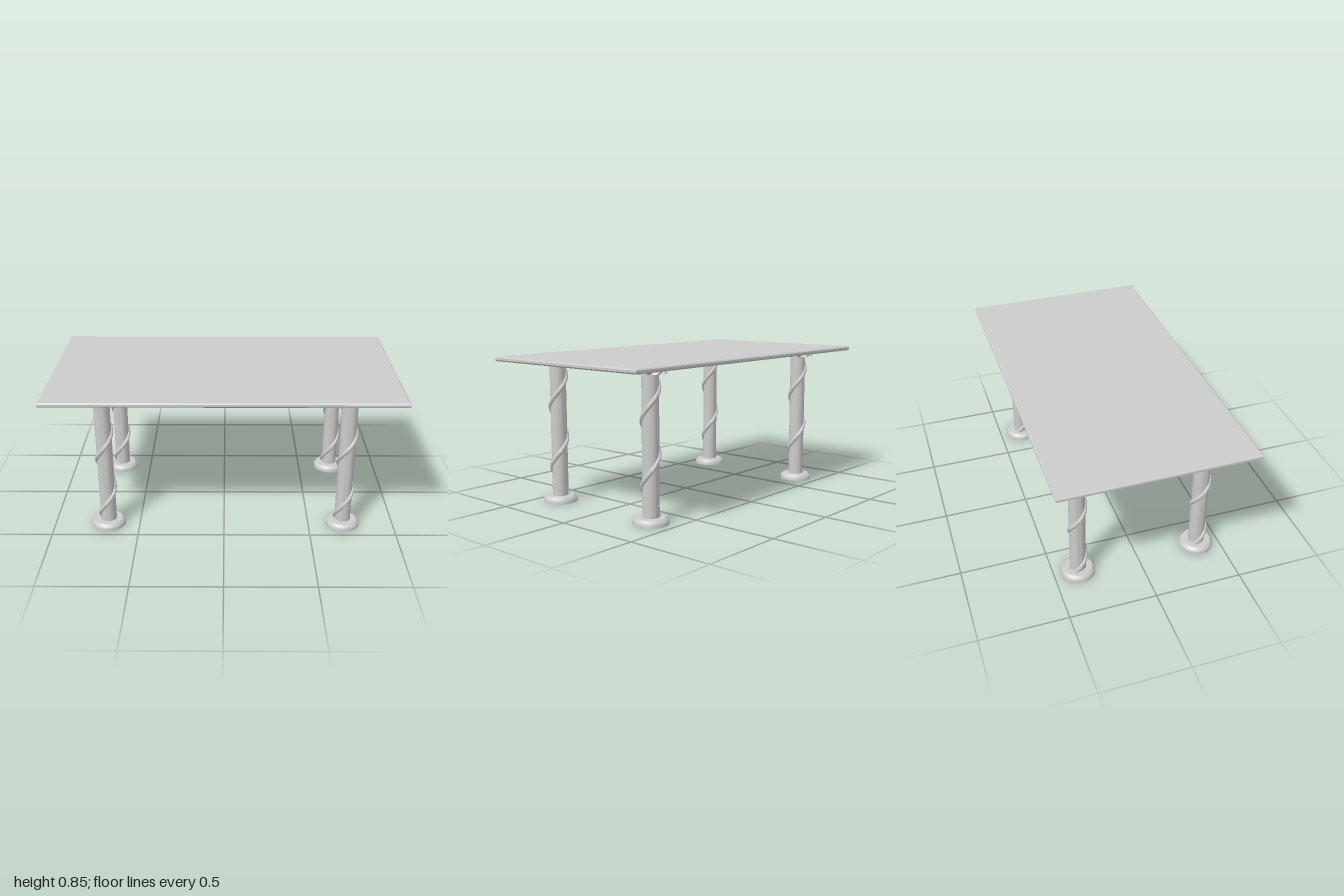
import * as THREE from 'three';
import { toCreasedNormals } from 'three/addons/utils/BufferGeometryUtils.js';

const material = new THREE.MeshStandardMaterial({ color: 0xcccccc });

function part(name, geometry, crease = 0.6) {
  const mesh = new THREE.Mesh(toCreasedNormals(geometry, crease), material);
  mesh.name = name;
  return mesh;
}

// Flat slab with a chamfered rim
function tabletop() {
  const c = 0.007, hx = 1 - c, hz = 0.548 - c, thick = 0.026;
  const outline = new THREE.Shape([
    new THREE.Vector2(-hx, -hz), new THREE.Vector2(hx, -hz),
    new THREE.Vector2(hx, hz), new THREE.Vector2(-hx, hz),
  ]);
  const g = new THREE.ExtrudeGeometry(outline, {
    depth: thick - 2 * c, bevelEnabled: true, bevelSize: c, bevelThickness: c, bevelSegments: 1,
  });
  g.rotateX(-Math.PI / 2).translate(0, 0.828 + c, 0);
  return part('tabletop', g, 0.3);
}

// Round foot with a straight rim and a sloping shoulder
function foot() {
  const profile = [[0, 0], [0.0975, 0], [0.0975, 0.019], [0.093, 0.026], [0.08, 0.037], [0, 0.037]];
  return part('foot', new THREE.LatheGeometry(profile.map(([r, y]) => new THREE.Vector2(r, y)), 48));
}

// Ribbed vine climbing around the column
class Helix extends THREE.Curve {
  getPoint(t, target = new THREE.Vector3()) {
    const y = THREE.MathUtils.lerp(0.025, 0.815, t);
    const a = ((y - 0.155) / 0.355) * Math.PI * 2;
    return target.set(0.044 * Math.sin(a), y, 0.044 * Math.cos(a));
  }
}

// Lobed capital, twisted as it rises
function capital() {
  const lobes = 8, steps = 12, height = 0.031, twist = 0.6, points = [];
  for (let i = 0; i < lobes * steps; i++) {
    const a = (i / (lobes * steps)) * Math.PI * 2;
    const r = 0.058 + 0.031 * Math.sqrt(Math.abs(Math.sin((a * lobes) / 2)));
    points.push(new THREE.Vector2(r * Math.cos(a), r * Math.sin(a)));
  }
  const g = new THREE.ExtrudeGeometry(new THREE.Shape(points), {
    depth: height, steps: 6, bevelEnabled: false,
  });
  g.rotateX(-Math.PI / 2);
  const p = g.attributes.position, v = new THREE.Vector3(), up = new THREE.Vector3(0, 1, 0);
  for (let i = 0; i < p.count; i++) {
    v.fromBufferAttribute(p, i);
    v.applyAxisAngle(up, (v.y / height) * twist);
    p.setXYZ(i, v.x, v.y, v.z);
  }
  g.translate(0, 0.798, 0);
  return part('capital', g);
}

function leg() {
  const group = new THREE.Group();
  const column = new THREE.CylinderGeometry(0.046, 0.046, 0.79, 40).translate(0, 0.425, 0);
  const vine = new THREE.TubeGeometry(new Helix(), 120, 0.0135, 8, false);
  group.add(foot(), part('column', column), part('vine', vine, 0.9), capital());
  return group;
}

export function createModel() {
  const model = new THREE.Group();
  model.name = 'table';
  model.add(tabletop());

  // Four identical legs, all twisting the same way
  const prototype = leg();
  for (const [z, end] of [[0.367, 'front'], [-0.358, 'back']]) {
    for (const [x, side] of [[0.702, 'Left'], [-0.683, 'Right']]) {
      const copy = prototype.clone();
      copy.name = `${end}${side}Leg`;
      copy.position.set(x, 0, z);
      model.add(copy);
    }
  }
  return model;
}
